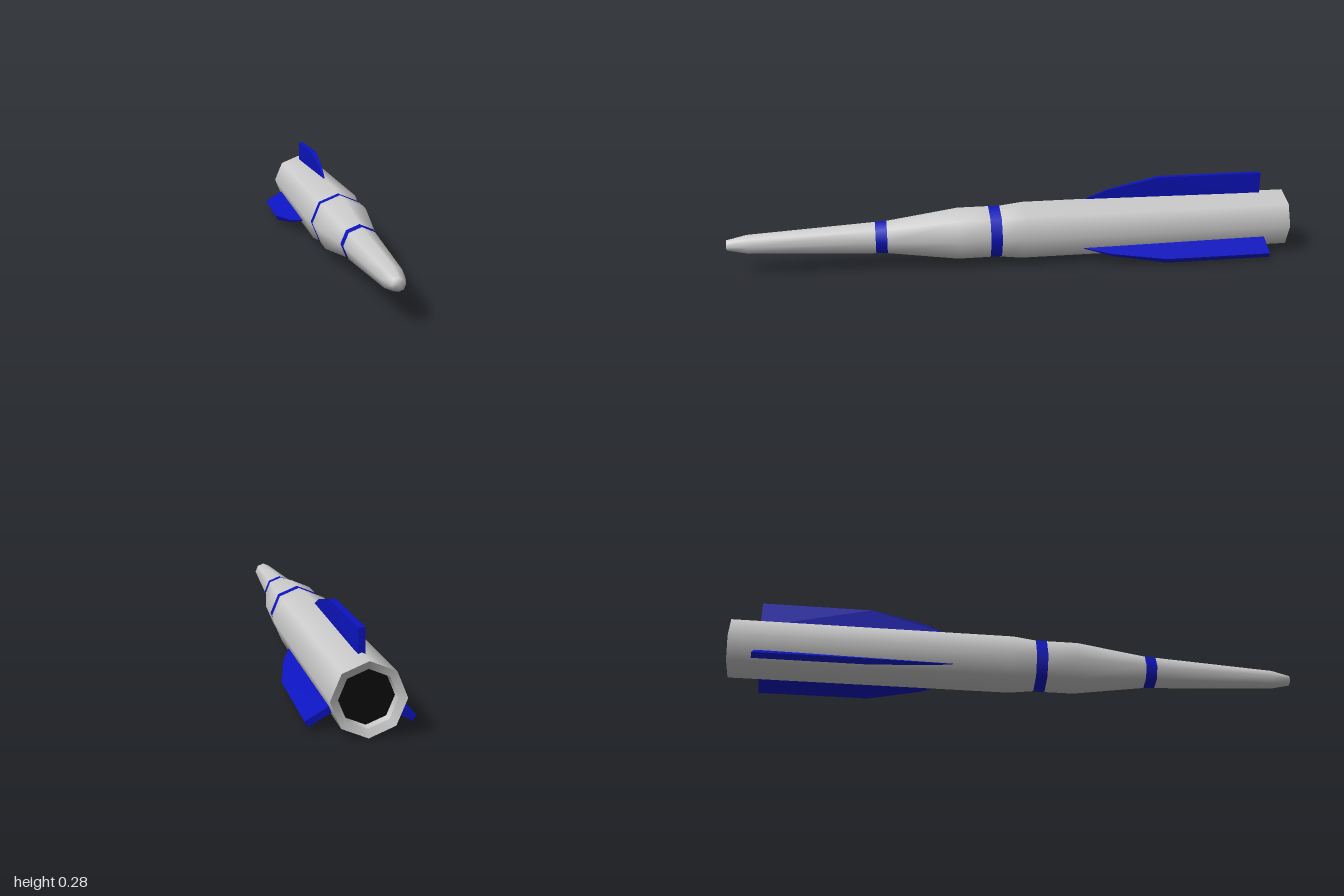
import * as THREE from 'three';

const AXIS_Y = 0.107;
const SIDES = 8;

export function createModel() {
  const rocket = new THREE.Group();
  rocket.name = 'rocket';
  const grey = new THREE.MeshStandardMaterial({ color: 0xcccccc });
  const blue = new THREE.MeshStandardMaterial({ color: 0x0c14c0 });
  const black = new THREE.MeshStandardMaterial({ color: 0x0c0c0c });

  // Everything is built around the long axis, then lifted onto the ground
  const hull = new THREE.Group();
  hull.name = 'hull';
  hull.position.y = AXIS_Y;
  rocket.add(hull);

  const add = (name, geometry, material) => {
    const mesh = new THREE.Mesh(geometry, material);
    mesh.name = name;
    hull.add(mesh);
    return mesh;
  };

  // Eight-sided turned section from [radius, z] pairs, running back to front
  const turned = (name, profile, material) => {
    const points = profile.map(([r, z]) => new THREE.Vector2(r, z));
    add(name, new THREE.LatheGeometry(points, SIDES).rotateX(Math.PI / 2), material);
  };

  turned('exhaustOpening', [[0, -0.965], [0.08, -0.965]], black);
  turned('nozzleWall', [[0.08, -0.965], [0.083, -0.99]], grey);
  turned('nozzleRim', [[0.083, -0.99], [0.107, -1]], grey);
  turned('mainBody', [[0.107, -1], [0.107, -0.03], [0.097, 0.05]], grey);
  turned('rearBand', [[0.097, 0.05], [0.097, 0.09]], blue);
  turned('midBody', [[0.097, 0.09], [0.097, 0.2], [0.061, 0.45]], grey);
  turned('frontBand', [[0.061, 0.45], [0.059, 0.49]], blue);
  turned('nose', [[0.059, 0.49], [0.035, 0.93], [0.019, 1], [0, 1]], grey);

  // Fin outline as (length along the axis, radius), extruded to its thickness
  const outline = new THREE.Shape([
    [-0.91, 0.088], [-0.215, 0.088], [-0.26, 0.107],
    [-0.34, 0.137], [-0.53, 0.177], [-0.91, 0.177],
  ].map(([z, r]) => new THREE.Vector2(z, r)));
  const fin = new THREE.ExtrudeGeometry(outline, { depth: 0.02, bevelEnabled: false });
  fin.translate(0, 0, -0.01).rotateY(-Math.PI / 2);

  // Thin the fin towards its leading point
  const pos = fin.attributes.position;
  for (let i = 0; i < pos.count; i++) {
    const t = THREE.MathUtils.clamp((-0.21 - pos.getZ(i)) / 0.25, 0.1, 1);
    pos.setX(i, pos.getX(i) * t);
  }
  fin.computeVertexNormals();

  ['topFin', 'rightFin', 'leftFin'].forEach((name, i) => {
    add(name, fin, blue).rotation.z = (i * Math.PI * 2) / 3;
  });

  return rocket;
}
